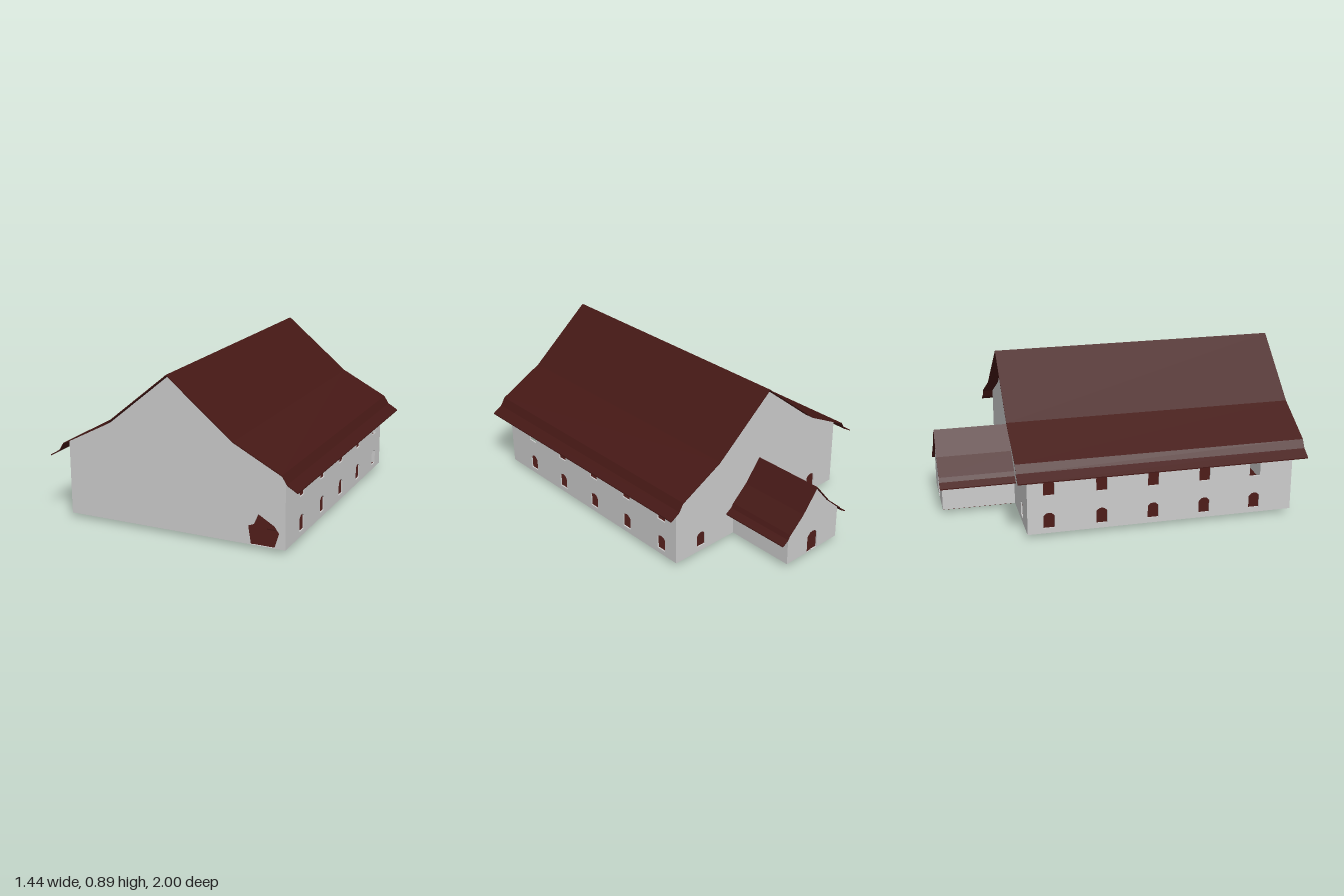
import * as THREE from 'three';

const grey = new THREE.MeshStandardMaterial({ color: 0xcccccc, flatShading: true, side: THREE.DoubleSide });
const red = new THREE.MeshStandardMaterial({ color: 0x451815, flatShading: true, side: THREE.DoubleSide });
const BASE = 0.025;
const T = 0.008; // wall thickness

const shapeOf = (pts) => new THREE.Shape(pts.map(([x, y]) => new THREE.Vector2(x, y)));
const mirrored = (half) => [...half.map(([x, y]) => [-x, y]).reverse(), ...half.slice(1)];

// Opening with a chamfered arch, centred on u, standing on y
function opening(u, y, w, h) {
  const a = w / 2;
  return [[u - a, y], [u + a, y], [u + a, y + h * 0.8], [u + a * 0.5, y + h * 0.96], [u, y + h],
    [u - a * 0.5, y + h * 0.96], [u - a, y + h * 0.8]];
}

function extruded(name, pts, holes, depth, material) {
  const shape = shapeOf(pts);
  holes.forEach((h) => shape.holes.push(shapeOf(h)));
  const mesh = new THREE.Mesh(new THREE.ExtrudeGeometry(shape, { depth, bevelEnabled: false }), material);
  mesh.name = name;
  return mesh;
}

function box(name, [w, h, d], [x, y, z], material) {
  const mesh = new THREE.Mesh(new THREE.BoxGeometry(w, h, d), material);
  mesh.name = name;
  mesh.position.set(x, y, z);
  return mesh;
}

// Gable wall: half outline runs from the ridge down to the eave
function gable(name, half, z, holes) {
  const w = half[half.length - 1][0];
  const mesh = extruded(name, [...mirrored(half), [w, BASE], [-w, BASE]], holes, T, grey);
  mesh.position.z = z;
  return mesh;
}

// Long wall in the y-z plane, whose outer face is at x
function sideWall(name, x, z0, z1, top, holes) {
  const pts = [[-z1, BASE], [-z0, BASE], [-z0, top], [-z1, top]];
  const mesh = extruded(name, pts, holes, T, grey);
  mesh.rotation.y = Math.PI / 2;
  mesh.position.x = x > 0 ? x - T : x;
  return mesh;
}

// Thin folded roof sheet
function roof(name, half, z0, z1) {
  const top = mirrored(half);
  const under = top.map(([x, y]) => [x, y - 0.006]).reverse();
  const mesh = extruded(name, [...top, ...under], [], z1 - z0, red);
  mesh.position.z = z0;
  return mesh;
}

export function createModel() {
  const house = new THREE.Group();
  house.name = 'house';

  // Main hall walls
  const mainGable = [[0, 0.882], [0.37, 0.578], [0.635, 0.438]];
  const breach = [[0.425, 0.125], [0.44, 0.027], [0.575, 0.027], [0.6, 0.11], [0.575, 0.145],
    [0.485, 0.198], [0.46, 0.14]];
  house.add(gable('frontWall', mainGable, 0.945 - T, [breach]));
  const backOpenings = [-0.45, 0.45].map((x) => opening(x, 0.055, 0.062, 0.09));
  backOpenings.push(opening(0, 0.027, 0.08, 0.12));
  house.add(gable('backWall', mainGable, -0.57, backOpenings));
  const windows = [];
  for (const z of [0.725, 0.43, 0.135, -0.157, -0.45])
    for (const y of [0.055, 0.247]) windows.push(opening(-z, y, 0.062, 0.09));
  house.add(sideWall('leftWall', 0.635, -0.57, 0.945, 0.438, windows));
  house.add(sideWall('rightWall', -0.635, -0.57, 0.945, 0.438, windows));

  // Main roof with flared eaves
  house.add(roof('mainRoof', [[0, 0.887], [0.37, 0.583], [0.637, 0.444], [0.665, 0.4], [0.722, 0.366]], -0.63, 1));

  // Rear annex
  const annexGable = [[0, 0.433], [0.105, 0.305], [0.2, 0.218]];
  house.add(gable('annexBackWall', annexGable, -0.985, [opening(0, 0.027, 0.08, 0.125)]));
  for (const s of [-1, 1])
    house.add(sideWall(s > 0 ? 'annexLeftWall' : 'annexRightWall', s * 0.2, -0.985, -0.57, 0.218, []));
  house.add(roof('annexRoof', [[0, 0.44], [0.105, 0.311], [0.202, 0.224], [0.218, 0.2], [0.256, 0.176]], -1, -0.57));

  // Ground floor with a small broken hole
  const hole = [[0.255, -0.15], [0.31, -0.14], [0.335, -0.09], [0.29, -0.05], [0.25, -0.09]];
  const floor = extruded('floor', [[-0.63, -0.94], [0.63, -0.94], [0.63, 0.565], [-0.63, 0.565]], [hole], 0.004, red);
  floor.rotation.x = -Math.PI / 2;
  floor.position.y = BASE - 0.002;
  house.add(floor, box('annexFloor', [0.396, 0.004, 0.41], [0, BASE, -0.776], red));

  // Broken board hanging beneath the hole
  const board = extruded('hangingBoard', [[0, -0.052], [0.1, 0.01], [0.04, 0.055], [0, 0.03]], [], 0.004, grey);
  board.rotation.set(-Math.PI / 2, 0.18, 0);
  board.position.set(0.257, 0.019, 0.108);
  house.add(board);

  // Upper floor, posts and an upstairs partition
  house.add(box('upperFloor', [1.25, 0.006, 1.05], [0, 0.215, -0.04], red));
  house.add(box('upperPartition', [0.008, 0.22, 0.46], [0.1, 0.328, -0.335], grey));
  for (const x of [-0.3, 0.3])
    for (const z of [-0.3, 0, 0.3, 0.6]) {
      const height = z > 0.5 ? 0.5 : 0.19;
      house.add(box('post', [0.02, height, 0.02], [x, BASE + height / 2, z], grey));
    }

  // Staircase to the upper floor
  const stairs = new THREE.Group();
  stairs.name = 'staircase';
  for (let i = 0; i < 10; i++)
    stairs.add(box('step', [0.08, 0.006, 0.03], [0.49, 0.04 + i * 0.019, 0.74 - i * 0.026], red));
  house.add(stairs);

  return house;
}
